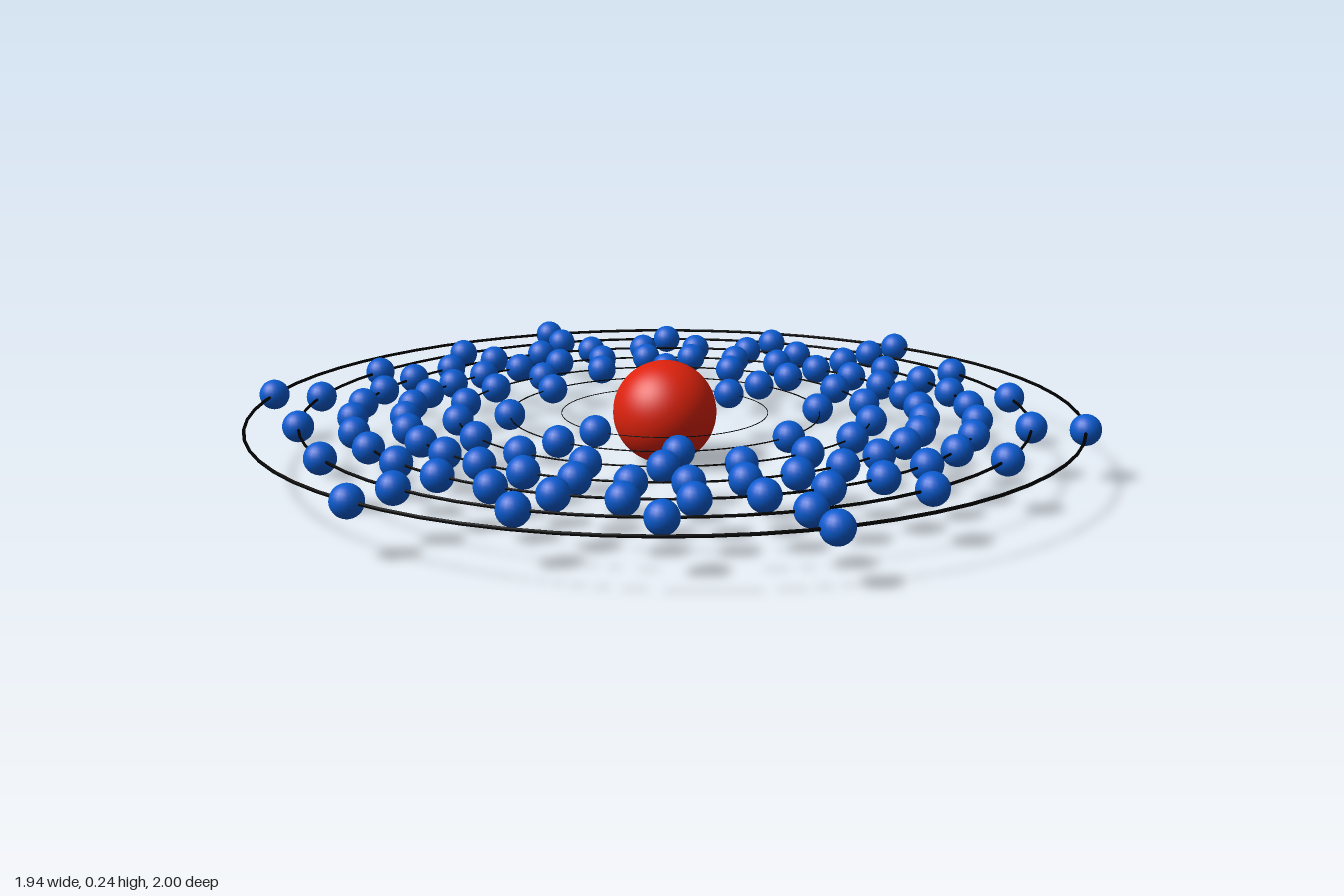
import * as THREE from 'three';

const CENTRE_Y = 0.121;
const STEP = 0.1205; // spacing between shells
const SHELLS = [2, 8, 18, 32, 32, 18, 6]; // electrons per shell, inside out

export function createModel() {
  const model = new THREE.Group();
  model.name = 'atom';

  const red = new THREE.MeshStandardMaterial({ color: 0xdd220c });
  const blue = new THREE.MeshStandardMaterial({ color: 0x0a5bd0 });
  const black = new THREE.MeshStandardMaterial({ color: 0x000000 });

  // Nucleus rests on the ground
  const nucleus = new THREE.Mesh(new THREE.SphereGeometry(0.121, 48, 32), red);
  nucleus.name = 'nucleus';
  nucleus.position.y = CENTRE_Y;
  model.add(nucleus);

  const electronGeometry = new THREE.SphereGeometry(0.036, 20, 14);

  SHELLS.forEach((count, i) => {
    const radius = STEP * (i + 2);
    const shell = new THREE.Group();
    shell.name = `shell${i + 1}`;
    shell.position.y = CENTRE_Y;

    // Thin orbit ring, growing thicker with its radius
    const orbit = new THREE.Mesh(
      new THREE.TorusGeometry(radius, radius * 0.004, 6, 64), black);
    orbit.name = 'orbit';
    orbit.rotation.x = Math.PI / 2;
    shell.add(orbit);

    // Electrons evenly spaced, starting from the front
    for (let k = 0; k < count; k++) {
      const angle = (k / count) * Math.PI * 2;
      const electron = new THREE.Mesh(electronGeometry, blue);
      electron.name = 'electron';
      electron.position.set(Math.sin(angle) * radius, 0, Math.cos(angle) * radius);
      shell.add(electron);
    }
    model.add(shell);
  });

  return model;
}
